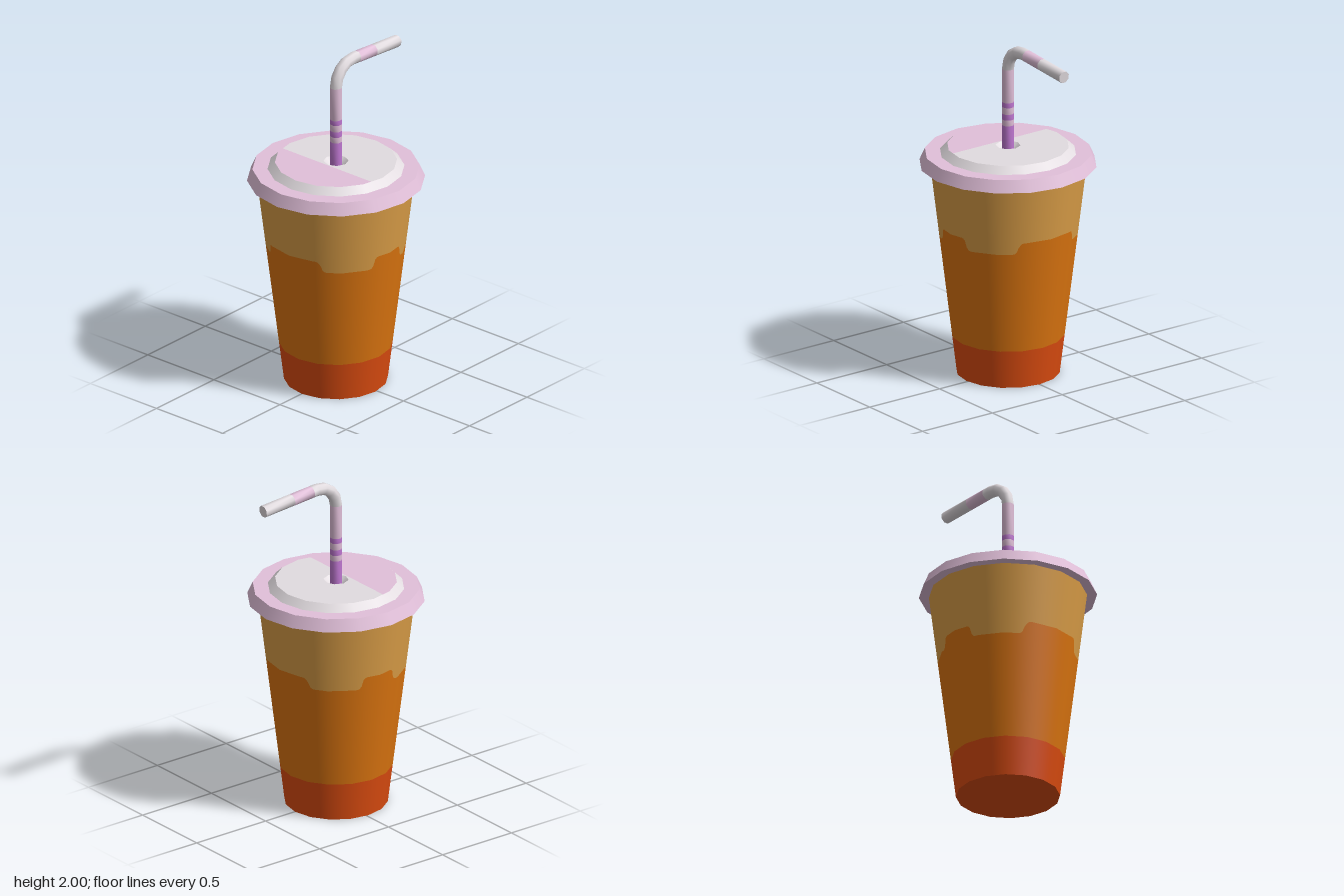
import * as THREE from 'three';

const mat = (name, color) => {
  const m = new THREE.MeshStandardMaterial({ color });
  m.name = name;
  return m;
};

const SIDES = 16;
const CUP = { r0: 0.298, r1: 0.453, h: 1.265 };
const LID_TOP = 1.37;

// Surface of revolution; profile runs upward for outward faces
function ring(name, pts, material, sides = SIDES) {
  const g = new THREE.LatheGeometry(pts.map(([r, y]) => new THREE.Vector2(r, y)), sides);
  const m = new THREE.Mesh(g, material);
  m.name = name;
  return m;
}

// Height of the wavy liquid line: raised on each axis, low between
const WAVE = [[0, 0.917], [13, 0.917], [15.5, 0.9], [16.5, 0.865], [18.5, 0.846],
  [58, 0.846], [60, 0.858], [62, 0.895], [65, 0.917], [90, 0.917]];
function waveHeight(deg) {
  let a = deg % 180;
  if (a > 90) a = 180 - a;
  for (let i = 1; i < WAVE.length; i++) {
    const [a0, y0] = WAVE[i - 1], [a1, y1] = WAVE[i];
    if (a <= a1) return y0 + (y1 - y0) * (a - a0) / (a1 - a0);
  }
  return WAVE[0][1];
}

// One band of the sixteen-sided cup wall between two height functions
function wallBand(name, low, high, material) {
  const n = 240, step = (2 * Math.PI) / SIDES, half = step / 2;
  const slope = (CUP.r1 - CUP.r0) / CUP.h;
  const pos = [], nor = [], idx = [];
  for (let i = 0; i <= n; i++) {
    const deg = (i * 360) / n, t = THREE.MathUtils.degToRad(deg);
    const flat = Math.cos(half) / Math.cos((t % step) - half);
    for (const y of [low(deg), high(deg)]) {
      const r = (CUP.r0 + slope * y) * flat;
      pos.push(r * Math.sin(t), y, r * Math.cos(t));
      const v = new THREE.Vector3(Math.sin(t), -slope, Math.cos(t)).normalize();
      nor.push(v.x, v.y, v.z);
    }
    if (i < n) {
      const a = i * 2;
      idx.push(a, a + 2, a + 1, a + 3, a + 1, a + 2);
    }
  }
  const g = new THREE.BufferGeometry();
  g.setAttribute('position', new THREE.Float32BufferAttribute(pos, 3));
  g.setAttribute('normal', new THREE.Float32BufferAttribute(nor, 3));
  g.setIndex(idx);
  const m = new THREE.Mesh(g, material);
  m.name = name;
  return m;
}

// Eight-sided straw piece through stations [x, y, tilt from vertical]
const STRAW_R = 0.036, STRAW_SIDES = 8;
function strawPiece(name, stations, material) {
  const pos = [], idx = [], n = STRAW_SIDES;
  stations.forEach(([x, y, tilt], s) => {
    for (let k = 0; k < n; k++) {
      const a = ((k + 0.5) / n) * 2 * Math.PI;
      const u = STRAW_R * Math.sin(a);
      pos.push(x + u * Math.cos(tilt), y - u * Math.sin(tilt), STRAW_R * Math.cos(a));
      if (s > 0) {
        const k2 = (k + 1) % n, p = (s - 1) * n, q = s * n;
        idx.push(p + k, p + k2, q + k, q + k2, q + k, p + k2);
      }
    }
  });
  const g = new THREE.BufferGeometry();
  g.setAttribute('position', new THREE.Float32BufferAttribute(pos, 3));
  g.setIndex(idx);
  g.computeVertexNormals();
  const m = new THREE.Mesh(g, material);
  m.name = name;
  return m;
}

// Flat upward-facing plate from an outline in (x, -z)
function plate(name, shape, y, material) {
  const m = new THREE.Mesh(new THREE.ShapeGeometry(shape).rotateX(-Math.PI / 2), material);
  m.position.y = y;
  m.name = name;
  return m;
}

const polygon = (r, n) => Array.from({ length: n }, (_, i) => {
  const a = (i / n) * 2 * Math.PI;
  return new THREE.Vector2(r * Math.cos(a), r * Math.sin(a));
});

export function createModel() {
  const red = mat('red syrup', 0xdc4c10);
  const orange = mat('orange drink', 0xdc7510);
  const tan = mat('tan foam', 0xdc9f48);
  const pink = mat('pink lid', 0xe2c0da);
  const white = mat('pale grey', 0xe2dce0);
  const purple = mat('purple stripe', 0xc078d2);

  const model = new THREE.Group();
  model.name = 'drinkCup';

  // Cup
  const cup = new THREE.Group();
  cup.name = 'cup';
  const at = (y) => () => y;
  cup.add(
    ring('cupBase', [[0, 0], [CUP.r0, 0]], red),
    wallBand('lowerBand', at(0), at(0.23), red),
    wallBand('middleBand', at(0.23), waveHeight, orange),
    wallBand('upperBand', waveHeight, at(CUP.h), tan),
  );

  // Lid rim and raised centre
  const lid = new THREE.Group();
  lid.name = 'lid';
  lid.add(
    ring('rimUnderside', [[0.44, 1.26], [0.51, 1.26]], pink),
    ring('rimSide', [[0.51, 1.26], [0.479, 1.33]], pink),
    ring('rimTop', [[0.479, 1.33], [0.392, 1.33]], pink),
    ring('domeBevel', [[0.392, 1.33], [0.35, LID_TOP]], white),
    ring('strawHole', [[0.072, LID_TOP], [0.034, 1.335]], white, 8),
  );

  // Lid top, split into a pink segment and a pale remainder with the hole
  const split = -0.078, outline = polygon(0.35, SIDES);
  const cutY = THREE.MathUtils.mapLinear(split, outline[4].x, outline[5].x, outline[4].y, outline[5].y);
  const upper = new THREE.Vector2(split, cutY), lower = new THREE.Vector2(split, -cutY);
  const pinkTop = new THREE.Shape([upper, ...outline.slice(5, 12), lower]);
  const paleTop = new THREE.Shape([lower, ...outline.slice(12), ...outline.slice(0, 5), upper]);
  paleTop.holes.push(new THREE.Path(polygon(0.072, 8).reverse()));
  lid.add(plate('lidTopPink', pinkTop, LID_TOP, pink), plate('lidTopPale', paleTop, LID_TOP, white));

  // Straw: striped upright, bend, sloping arm
  const straw = new THREE.Group();
  straw.name = 'straw';
  const cuts = [1.3, 1.495, 1.53, 1.565, 1.605, 1.635, 1.835];
  const stripes = [purple, pink, purple, pink, purple, pink];
  stripes.forEach((m, i) => straw.add(
    strawPiece('strawStripe' + (i + 1), [[0, cuts[i], 0], [0, cuts[i + 1], 0]], m)));

  const R = 0.132, tilt = THREE.MathUtils.degToRad(94.4), bend = [];
  for (let i = 0; i <= 4; i++) {
    const a = (tilt * i) / 4;
    bend.push([R - R * Math.cos(a), 1.835 + R * Math.sin(a), a]);
  }
  const [ex, ey] = bend[4];
  const arm = (x) => [x, ey + (x - ex) / Math.tan(tilt), tilt];
  straw.add(
    strawPiece('strawBend', [...bend, arm(0.18)], white),
    strawPiece('strawArmBand', [arm(0.18), arm(0.322)], pink),
    strawPiece('strawArm', [arm(0.322), arm(0.53)], white),
  );
  const tip = arm(0.53);
  const cap = new THREE.Mesh(new THREE.CircleGeometry(STRAW_R, STRAW_SIDES, Math.PI / 8), white);
  cap.name = 'strawTip';
  cap.position.set(tip[0], tip[1], 0);
  cap.lookAt(tip[0] + Math.sin(tilt), tip[1] + Math.cos(tilt), 0);
  straw.add(cap);

  model.add(cup, lid, straw);
  model.position.x = -0.012;
  return model;
}
